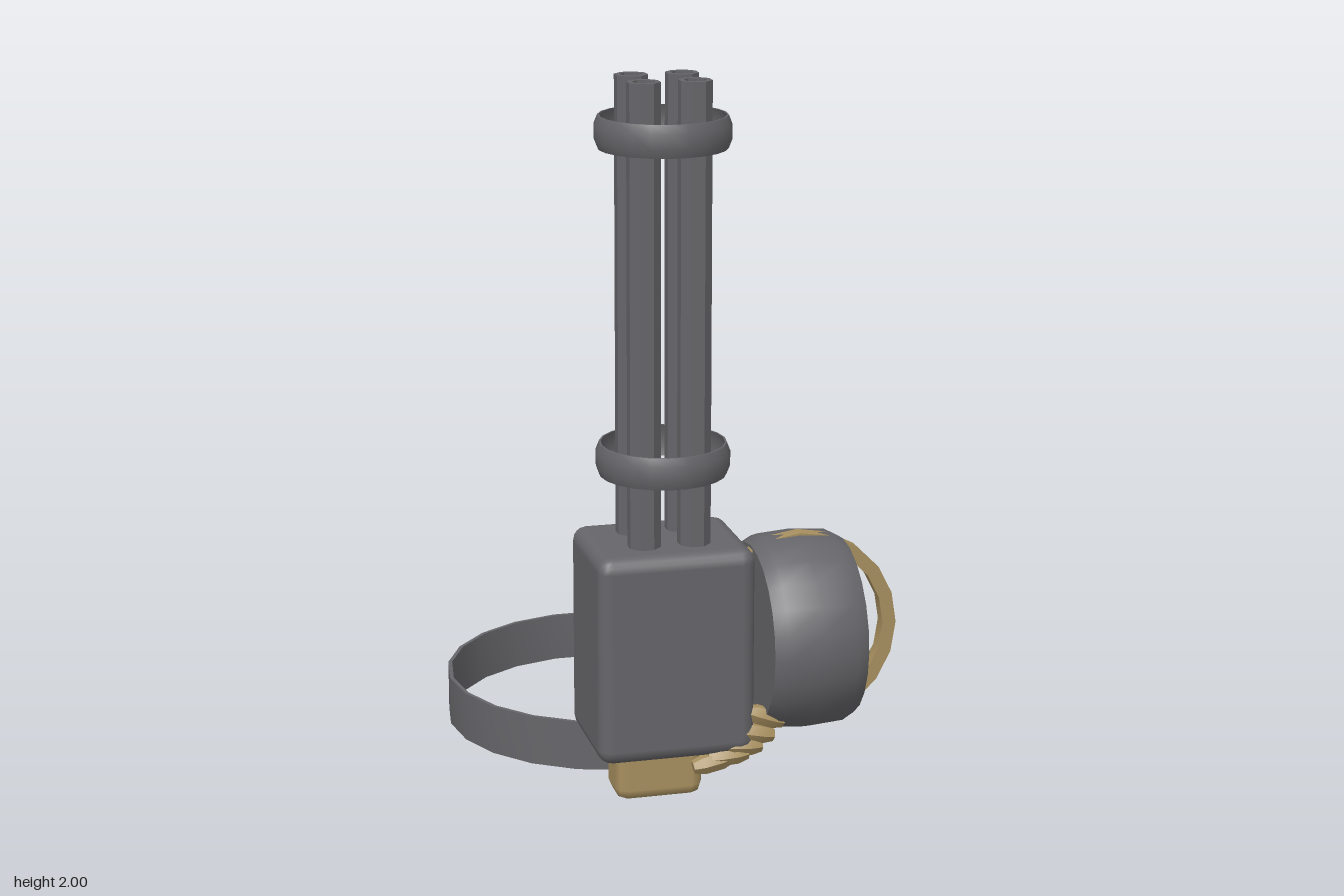
import * as THREE from 'three';
import { toCreasedNormals } from 'three/addons/utils/BufferGeometryUtils.js';
import { RoundedBoxGeometry } from 'three/addons/geometries/RoundedBoxGeometry.js';

const CX = -0.09, CZ = 0.408; // axis of the barrel cluster

export function createModel() {
  const model = new THREE.Group();
  const steel = new THREE.MeshStandardMaterial({ color: 0x66666a });
  const brass = new THREE.MeshStandardMaterial({ color: 0xa89060 });

  function add(name, geometry, material, x, y, z) {
    const mesh = new THREE.Mesh(geometry, material);
    mesh.name = name;
    mesh.position.set(x, y, z);
    model.add(mesh);
    return mesh;
  }

  // Turned part around y; profile runs up the outside as [radius, y]
  function turned(profile, sides, start = Math.PI / 2, crease = 0.5) {
    const points = profile.map(([r, y]) => new THREE.Vector2(r, y));
    return toCreasedNormals(new THREE.LatheGeometry(points, sides, start), crease);
  }

  // Housing with softened edges
  add('housing', new RoundedBoxGeometry(0.43, 0.575, 0.355, 2, 0.04), steel, CX, 0.477, CZ);

  // Four hollow octagonal barrels
  const barrel = turned([
    [0.045, 0], [0.045, 1.26], [0.03, 1.26], [0.03, 1.1], [0, 1.1],
  ], 8, Math.PI / 8, 0.3);
  for (const sx of [-1, 1]) {
    for (const sz of [-1, 1]) {
      add('barrel', barrel, steel, CX + sx * 0.068, 0.74, CZ + sz * 0.067);
    }
  }

  // Thin bulged bands around the barrels
  const clamp = turned([
    [0.165, -0.043], [0.17, -0.043], [0.179, -0.02], [0.179, 0.02],
    [0.17, 0.043], [0.165, 0.043], [0.173, 0.02], [0.173, -0.02], [0.165, -0.043],
  ], 22);
  for (const y of [0.987, 1.86]) add('barrelClamp', clamp, steel, CX, y, CZ);

  // Wrist band and the block joining it to the housing
  const band = turned([
    [0.464, -0.07], [0.475, -0.07], [0.475, 0.07], [0.464, 0.07], [0.464, -0.07],
  ], 22);
  add('wristBand', band, steel, CX, 0.115, -0.21);
  add('bandMount', new RoundedBoxGeometry(0.245, 0.23, 0.145, 1, 0.035), brass, CX, 0.115, 0.318);

  // Ammunition drum, lying along x
  const drum = turned([
    [0, -0.13], [0.245, -0.13], [0.264, -0.095], [0.271, 0],
    [0.264, 0.095], [0.245, 0.13], [0, 0.13],
  ], 24);
  add('drum', drum, steel, 0.285, 0.476, CZ).rotation.z = -Math.PI / 2;

  // Brass hoop standing across the drum
  const hoop = turned([
    [0.237, -0.02], [0.275, -0.02], [0.275, 0.02], [0.237, 0.02], [0.237, -0.02],
  ], 20);
  add('drumHoop', hoop, brass, 0.29, 0.476, CZ).rotation.x = Math.PI / 2;

  // Feed belt of tapered cartridges curving up into the drum
  const cartridge = turned([
    [0, -0.055], [0.018, -0.055], [0.027, -0.025], [0.027, 0.025],
    [0.018, 0.055], [0, 0.055],
  ], 6, 0, 0.3);
  const path = new THREE.QuadraticBezierCurve3(
    new THREE.Vector3(0.01, 0.17, 0.56),
    new THREE.Vector3(0.1, 0.19, 0.56),
    new THREE.Vector3(0.155, 0.285, 0.555),
  );
  const count = 5;
  for (let i = 0; i < count; i++) {
    const t = i / (count - 1);
    const p = path.getPoint(t);
    const round = add('cartridge', cartridge, brass, p.x, p.y, p.z);
    round.rotation.z = -Math.PI / 2 + 0.2 - 0.55 * t;
  }

  return model;
}
